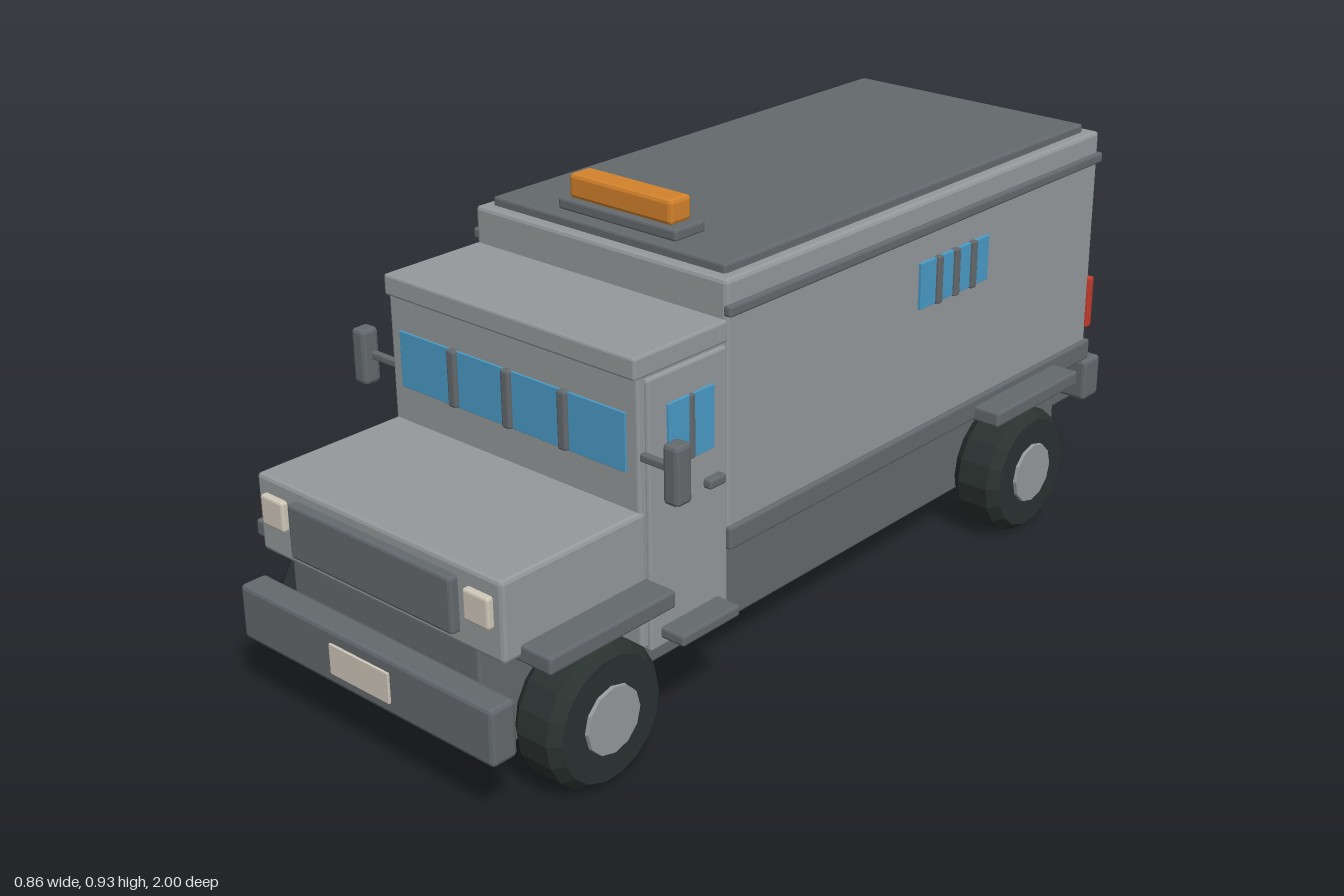
import * as THREE from 'three';
import { RoundedBoxGeometry } from 'three/addons/geometries/RoundedBoxGeometry.js';

const paint = (name, color) => {
  const m = new THREE.MeshStandardMaterial({ color });
  m.name = name;
  return m;
};

export function createModel() {
  const model = new THREE.Group();
  model.name = 'armouredTruck';

  const grey = paint('bodyGrey', 0x95999b);
  const dark = paint('darkGrey', 0x64696d);
  const glass = paint('blueGlass', 0x4a9bc6);
  const amber = paint('amberLight', 0xd3822b);
  const cream = paint('creamLamp', 0xcfc7b9);
  const red = paint('redLamp', 0xc23a2c);
  const rubber = paint('tyreRubber', 0x2a3230);

  // Box with small chamfers, given by its [min, max] on each axis
  function box(name, material, [x0, x1], [y0, y1], [z0, z1], bevel = 0.005) {
    const w = x1 - x0, h = y1 - y0, d = z1 - z0;
    const r = Math.min(bevel, w / 4, h / 4, d / 4);
    const geometry = new RoundedBoxGeometry(w, h, d, 1, r);
    geometry.computeVertexNormals(); // flat facets
    const mesh = new THREE.Mesh(geometry, material);
    mesh.name = name;
    mesh.position.set((x0 + x1) / 2, (y0 + y1) / 2, (z0 + z1) / 2);
    model.add(mesh);
    return mesh;
  }

  // The same box on both sides of the truck
  function pair(name, material, [x0, x1], y, z, bevel) {
    box(name + 'Left', material, [x0, x1], y, z, bevel);
    box(name + 'Right', material, [-x1, -x0], y, z, bevel);
  }

  // Chassis and cargo body
  box('chassis', dark, [-0.25, 0.25], [0.09, 0.32], [-0.875, 0.935]);
  box('cargoBody', grey, [-0.325, 0.325], [0.31, 0.84], [-0.87, 0.375], 0.008);
  box('roofPanel', dark, [-0.3, 0.3], [0.835, 0.858], [-0.84, 0.35]);
  pair('lowerTrim', dark, [0.315, 0.335], [0.305, 0.352], [-0.875, 0.375]);
  pair('upperTrim', dark, [0.315, 0.335], [0.77, 0.793], [-0.875, 0.375]);

  // Roof beacon
  box('beaconBase', dark, [-0.152, 0.152], [0.856, 0.88], [0.235, 0.318]);
  box('beacon', amber, [-0.132, 0.132], [0.88, 0.93], [0.25, 0.308], 0.008);

  // Cab and bonnet
  box('cab', grey, [-0.323, 0.323], [0.19, 0.73], [0.37, 0.607]);
  box('cabRoof', grey, [-0.325, 0.325], [0.722, 0.765], [0.37, 0.616]);
  box('bonnet', grey, [-0.325, 0.325], [0.31, 0.468], [0.59, 0.943], 0.008);

  // Windscreen with dividers
  box('windscreen', glass, [-0.295, 0.295], [0.54, 0.655], [0.603, 0.611], 0.001);
  for (const x of [-0.145, 0, 0.145]) {
    box('windscreenBar', dark, [x - 0.011, x + 0.011], [0.54, 0.657], [0.6, 0.62]);
  }

  // Cab doors
  pair('door', grey, [0.3, 0.331], [0.182, 0.72], [0.38, 0.59]);
  pair('doorWindow', glass, [0.328, 0.336], [0.535, 0.66], [0.42, 0.542], 0.001);
  pair('doorWindowBar', dark, [0.32, 0.339], [0.535, 0.66], [0.474, 0.488], 0.003);
  pair('doorHandle', dark, [0.325, 0.348], [0.46, 0.48], [0.4, 0.445]);
  pair('sideStep', dark, [0.32, 0.385], [0.2, 0.223], [0.405, 0.563]);

  // Mirrors
  pair('mirrorArm', dark, [0.32, 0.4], [0.567, 0.582], [0.588, 0.603], 0.003);
  pair('mirror', dark, [0.392, 0.428], [0.515, 0.63], [0.582, 0.622], 0.008);

  // Barred cargo windows
  pair('sideWindow', glass, [0.323, 0.332], [0.615, 0.713], [-0.447, -0.21], 0.001);
  for (const z of [-0.27, -0.33, -0.39]) {
    pair('sideWindowBar', dark, [0.32, 0.338], [0.613, 0.715], [z - 0.009, z + 0.009], 0.003);
  }

  // Mudguards
  pair('frontMudguard', dark, [0.3, 0.395], [0.3, 0.334], [0.592, 0.905]);
  pair('rearMudguard', dark, [0.3, 0.395], [0.302, 0.335], [-0.73, -0.42]);

  // Nose
  box('grille', dark, [-0.217, 0.217], [0.335, 0.445], [0.93, 0.962], 0.006);
  pair('headlamp', cream, [0.24, 0.303], [0.374, 0.435], [0.93, 0.956]);
  box('frontBumper', dark, [-0.34, 0.34], [0.137, 0.25], [0.935, 0.993], 0.008);
  box('frontPlate', cream, [-0.08, 0.08], [0.162, 0.224], [0.99, 0.998], 0.001);

  // Rear doors with windows, hinges and lamps
  pair('rearDoor', grey, [0.004, 0.3], [0.355, 0.805], [-0.884, -0.86]);
  pair('rearWindow', glass, [0.085, 0.225], [0.615, 0.715], [-0.89, -0.882], 0.001);
  pair('rearWindowBar', dark, [0.148, 0.162], [0.613, 0.717], [-0.893, -0.875], 0.003);
  for (const y of [0.385, 0.712]) {
    pair('hinge', dark, [0.255, 0.3], [y, y + 0.043], [-0.902, -0.875]);
  }
  pair('tailLamp', red, [0.304, 0.331], [0.38, 0.5], [-0.884, -0.862]);

  // Rear locking bar on two brackets
  pair('lockBracket', grey, [0.025, 0.1], [0.497, 0.605], [-0.93, -0.875], 0.008);
  box('lockBar', dark, [-0.115, 0.115], [0.485, 0.53], [-0.957, -0.928]);

  // Rear bumper and step
  box('rearBumper', dark, [-0.335, 0.335], [0.2, 0.297], [-0.928, -0.865], 0.008);
  box('rearPlate', cream, [-0.075, 0.075], [0.225, 0.278], [-0.933, -0.925], 0.001);
  box('rearStep', dark, [-0.235, 0.235], [0.147, 0.176], [-1.0, -0.87]);

  // Wheels: chamfered tyre and raised hub on each side
  const profile = [[0, -0.058], [0.122, -0.058], [0.14, -0.036], [0.14, 0.036], [0.122, 0.058], [0, 0.058]];
  const tyreShape = new THREE.LatheGeometry(profile.map(([r, h]) => new THREE.Vector2(r, h)), 18).toNonIndexed();
  tyreShape.computeVertexNormals();
  const hubShape = new THREE.CylinderGeometry(0.066, 0.07, 0.02, 12).toNonIndexed();
  hubShape.computeVertexNormals();
  for (const side of [1, -1]) {
    for (const z of [0.752, -0.575]) {
      const wheel = new THREE.Group();
      wheel.name = (z > 0 ? 'front' : 'rear') + 'Wheel' + (side > 0 ? 'Left' : 'Right');
      const tyre = new THREE.Mesh(tyreShape, rubber);
      tyre.name = 'tyre';
      const hub = new THREE.Mesh(hubShape, grey);
      hub.name = 'hub';
      hub.position.y = 0.055;
      wheel.add(tyre, hub);
      wheel.rotation.z = -side * Math.PI / 2;
      wheel.position.set(side * 0.327, 0.141, z);
      model.add(wheel);
    }
  }

  // Axles between the wheels
  for (const z of [0.752, -0.575]) {
    box('axle', dark, [-0.28, 0.28], [0.12, 0.16], [z - 0.02, z + 0.02]);
  }

  return model;
}
